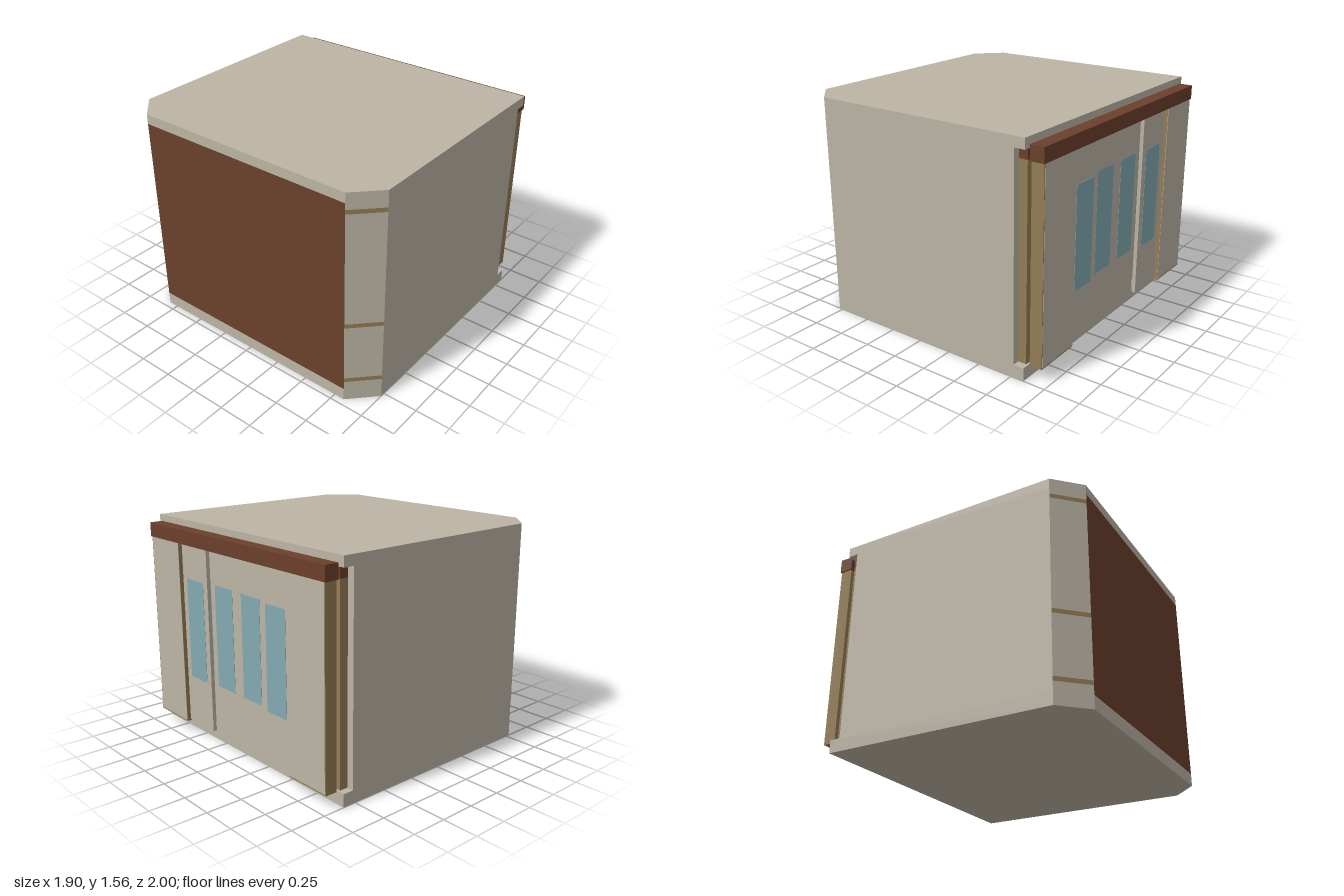
import * as THREE from 'three';

const mat = (name, color) => {
  const m = new THREE.MeshStandardMaterial({ color });
  m.name = name;
  return m;
};

export function createModel() {
  const beige = mat('beige panel', 0xbcb5a5);
  const brown = mat('dark brown', 0x6b402c);
  const gold = mat('bronze gold', 0x947d54);
  const glass = mat('blue glass', 0x82a9b0);

  const model = new THREE.Group();
  model.name = 'liftCabin';

  // box given by its min and max on each axis
  const box = (parent, name, m, x0, x1, y0, y1, z0, z1) => {
    const mesh = new THREE.Mesh(new THREE.BoxGeometry(x1 - x0, y1 - y0, z1 - z0), m);
    mesh.position.set((x0 + x1) / 2, (y0 + y1) / 2, (z0 + z1) / 2);
    mesh.name = name;
    parent.add(mesh);
    return mesh;
  };
  // same box on the side s = +1 or -1 of the z = 0 plane
  const sideBox = (parent, s, name, m, x0, x1, y0, y1, z0, z1) =>
    box(parent, name, m, x0, x1, y0, y1, s > 0 ? z0 : -z1, s > 0 ? z1 : -z0);

  // prism standing on a floor plan of [x, z] points
  const prism = (parent, name, m, plan, y0, y1) => {
    const shape = new THREE.Shape(plan.map(([x, z]) => new THREE.Vector2(x, -z)));
    const geo = new THREE.ExtrudeGeometry(shape, { depth: y1 - y0, bevelEnabled: false });
    geo.rotateX(-Math.PI / 2);
    const mesh = new THREE.Mesh(geo, m);
    mesh.position.y = y0;
    mesh.name = name;
    parent.add(mesh);
  };

  const FLOOR = 0.09, CEIL = 1.49, TOP = 1.56, HEAD = 1.415;

  // cabin shell: floor, ceiling, walls and cut corners
  const cabin = new THREE.Group();
  cabin.name = 'cabin';
  model.add(cabin);
  const plan = [[0.845, 1], [0.845, -1], [-0.78, -1], [-0.955, -0.825], [-0.955, 0.825], [-0.78, 1]];
  prism(cabin, 'floor', beige, plan, 0, FLOOR);
  prism(cabin, 'ceiling', beige, plan, CEIL, TOP);
  box(cabin, 'rearWall', brown, -0.955, -0.905, FLOOR, CEIL, -0.825, 0.825);

  // corner wall in stacked bands, with bronze rails between them
  const bands = [
    [FLOOR, 0.15, beige], [0.15, 0.18, gold], [0.18, 0.59, beige], [0.59, 0.62, gold],
    [0.62, 1.415, beige], [1.415, 1.445, gold], [1.445, CEIL, beige],
  ];
  for (const s of [1, -1]) {
    sideBox(cabin, s, 'sideWall', beige, -0.78, 0.77, FLOOR, CEIL, 0.95, 1);
    const corner = [[-0.78, s], [-0.955, s * 0.825], [-0.905, s * 0.825], [-0.78, s * 0.95]];
    for (const [y0, y1, m] of bands) {
      prism(cabin, m === gold ? 'cornerRail' : 'cornerWall', m, corner, y0, y1);
    }
  }

  // one sliding leaf with glass on both faces; z0..z1 is measured from the centre
  const leaf = (parent, s, x0, x1, z0, z1) => {
    sideBox(parent, s, 'doorLeaf', beige, x0, x1, 0.1, 1.41, z0, z1);
    sideBox(parent, s, 'doorWindow', glass, x0 - 0.002, x1 + 0.002, 0.45, 1.17, z0 + 0.05, z0 + 0.25);
  };

  // doorway: bronze side frames with beige facings and telescopic leaves
  const doorway = (name, x0, x1, faceX, slow, fast) => {
    const g = new THREE.Group();
    g.name = name;
    for (const s of [1, -1]) {
      sideBox(g, s, 'sideFrame', gold, x0, x1, FLOOR, HEAD, 0.6, 0.95);
      sideBox(g, s, 'sideFacing', beige, faceX - 0.002, faceX + 0.002, 0.1, HEAD, 0.6, 0.944);
      leaf(g, s, ...slow, 0.3, 0.6);
      leaf(g, s, ...fast, 0, 0.3);
    }
    model.add(g);
    return g;
  };

  const landing = doorway('landingDoorway', 0.857, 0.945, 0.945, [0.89, 0.917], [0.86, 0.887]);
  box(landing, 'landingHeader', brown, 0.852, 0.95, HEAD, 1.515, -0.96, 0.96);

  const cabinDoor = doorway('cabinDoorway', 0.77, 0.83, 0.77, [0.777, 0.797], [0.803, 0.823]);
  box(cabinDoor, 'cabinHeader', brown, 0.77, 0.83, HEAD, CEIL, -0.95, 0.95);

  return model;
}
